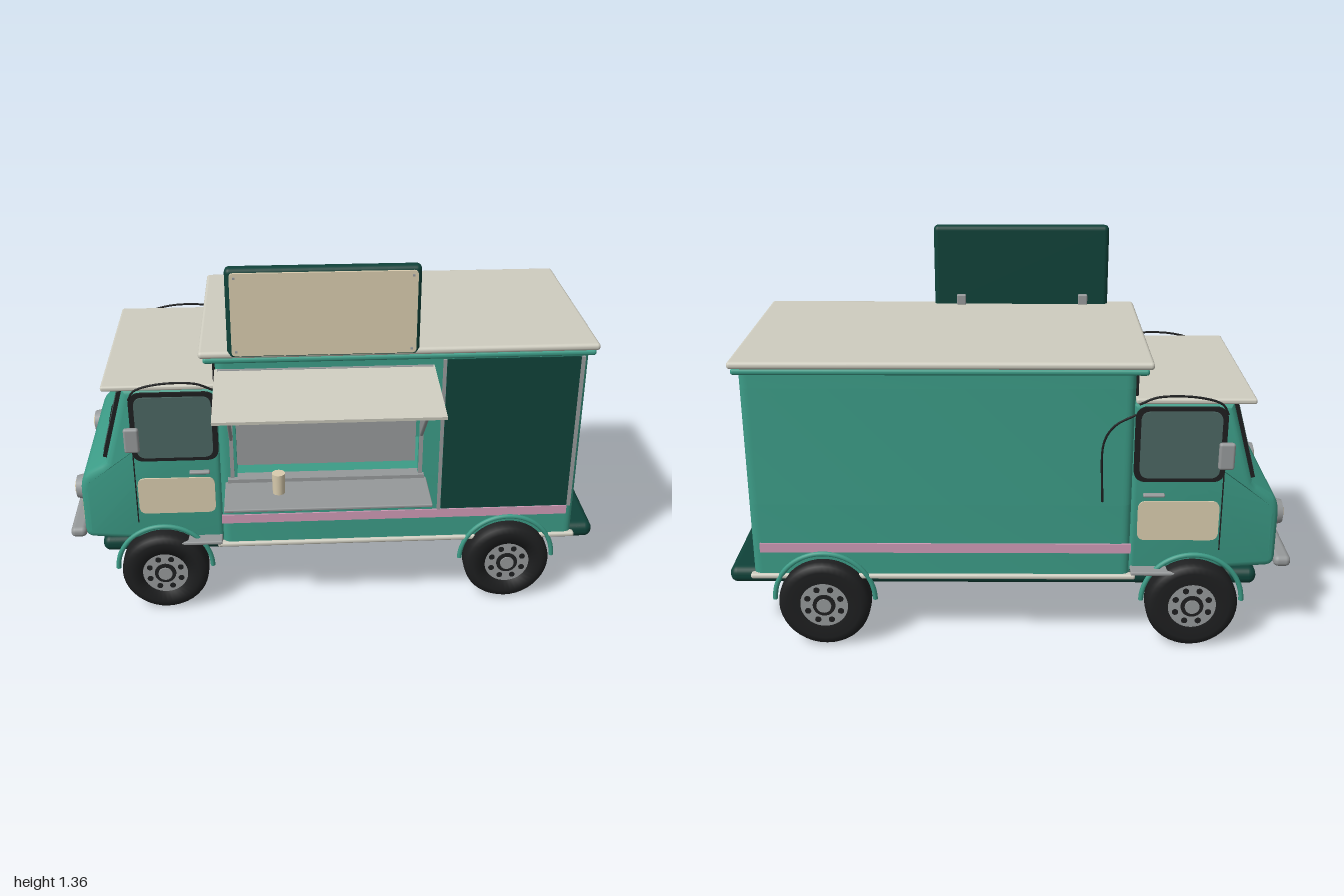
import * as THREE from 'three';
import { RoundedBoxGeometry } from 'three/addons/geometries/RoundedBoxGeometry.js';
import { toCreasedNormals } from 'three/addons/utils/BufferGeometryUtils.js';

const mat = (name, color) => {
  const m = new THREE.MeshStandardMaterial({ color });
  m.name = name;
  return m;
};

export function createModel() {
  const teal = mat('teal paint', 0x3c9c87), dark = mat('dark teal', 0x0f4239);
  const roofWhite = mat('roof off-white', 0xcfcdc0), cream = mat('cream', 0xd9ccae);
  const pink = mat('pink', 0xcf9bb6), grey = mat('metal grey', 0x96999a);
  const black = mat('black', 0x1e1f20), red = mat('red', 0xa8443a), glass = mat('dark glass', 0x4b6662);

  const model = new THREE.Group();
  model.name = 'foodTruck';
  const truck = new THREE.Group();
  truck.name = 'truck';
  truck.position.z = -0.13; // the awning side reaches further out
  model.add(truck);

  const add = (name, geo, m, x = 0, y = 0, z = 0, parent = truck) => {
    const mesh = new THREE.Mesh(geo, m);
    mesh.name = name;
    mesh.position.set(x, y, z);
    parent.add(mesh);
    return mesh;
  };
  // block given by its ranges, optionally rounded
  const block = (name, m, x0, x1, y0, y1, z0, z1, r = 0) => {
    const s = [x1 - x0, y1 - y0, z1 - z0];
    const geo = r ? new RoundedBoxGeometry(...s, 3, r) : new THREE.BoxGeometry(...s);
    return add(name, geo, m, (x0 + x1) / 2, (y0 + y1) / 2, (z0 + z1) / 2);
  };
  // round bar between two points
  const rod = (name, m, a, b, r) => {
    const p = new THREE.Vector3(...a), d = new THREE.Vector3(...b).sub(p);
    const mesh = add(name, new THREE.CylinderGeometry(r, r, d.length(), 10), m);
    mesh.position.copy(p).addScaledVector(d, 0.5);
    mesh.quaternion.setFromUnitVectors(new THREE.Vector3(0, 1, 0), d.normalize());
    return mesh;
  };
  // thin rounded plate on a side wall; s is the side, z the inner distance
  const plate = (name, m, x0, x1, y0, y1, z, d, r, s = 1) => {
    const shape = new THREE.Shape();
    shape.moveTo(x0 + r, y0).lineTo(x1 - r, y0).quadraticCurveTo(x1, y0, x1, y0 + r)
      .lineTo(x1, y1 - r).quadraticCurveTo(x1, y1, x1 - r, y1).lineTo(x0 + r, y1)
      .quadraticCurveTo(x0, y1, x0, y1 - r).lineTo(x0, y0 + r).quadraticCurveTo(x0, y0, x0 + r, y0);
    const geo = new THREE.ExtrudeGeometry(shape, { depth: d, bevelEnabled: false });
    return add(name, geo, m, 0, 0, s > 0 ? z : -z - d);
  };

  // chassis
  block('chassis', dark, -0.89, 1, 0.2, 0.262, -0.335, 0.325, 0.028);

  // kitchen box: three wall bands, the middle one open at the serving hatch
  const wallBand = (name, y0, y1, g0, g1) => {
    const a = -0.43, b = 0.9, h = 0.38, r = 0.035, t = 0.02;
    const s = new THREE.Shape();
    s.moveTo(g0, -h).lineTo(g0, -h + t).lineTo(a + t, -h + t).lineTo(a + t, h - t).lineTo(b - t, h - t)
      .lineTo(b - t, -h + t).lineTo(g1, -h + t).lineTo(g1, -h).lineTo(b - r, -h)
      .quadraticCurveTo(b, -h, b, -h + r).lineTo(b, h - r).quadraticCurveTo(b, h, b - r, h)
      .lineTo(a + r, h).quadraticCurveTo(a, h, a, h - r).lineTo(a, -h + r).quadraticCurveTo(a, -h, a + r, -h);
    const geo = new THREE.ExtrudeGeometry(s, { depth: y1 - y0, bevelEnabled: false, curveSegments: 6 });
    add(name, toCreasedNormals(geo.rotateX(-Math.PI / 2), 0.6), teal, 0, y0);
  };
  wallBand('lowerWalls', 0.265, 0.535, 0, 0);
  wallBand('hatchWalls', 0.535, 0.96, -0.365, 0.3);
  wallBand('upperWalls', 0.96, 1.02, 0, 0);
  block('kitchenFloor', teal, -0.42, 0.89, 0.265, 0.3, -0.37, 0.37);
  block('roofGutter', teal, -0.47, 0.92, 1.008, 1.03, -0.39, 0.39, 0.01);
  block('boxRoof', roofWhite, -0.485, 0.93, 1.03, 1.056, -0.398, 0.398, 0.012);
  block('frontVent', black, -0.439, -0.43, 0.925, 1.005, -0.35, 0.35);
  block('rearSeam', dark, 0.899, 0.903, 0.347, 0.351, -0.35, 0.35);
  for (const s of [1, -1]) {
    plate('pinkStripe', pink, -0.43, 0.87, 0.353, 0.388, 0.378, 0.007, 0.002, s);
    block('sillRail', roofWhite, -0.45, 0.91, 0.249, 0.269, s * 0.375 - 0.015, s * 0.375 + 0.015, 0.009);
    block('tailLight', red, 0.895, 0.908, 0.35, 0.406, s * 0.275 - 0.023, s * 0.275 + 0.023);
  }

  // side shutter with its frame strips
  plate('shutter', dark, 0.39, 0.868, 0.392, 1.005, 0.377, 0.009, 0.004);
  for (const x of [0.382, 0.876]) block('shutterStrip', grey, x - 0.006, x + 0.006, 0.39, 1.005, 0.375, 0.389);

  // kitchen interior
  block('wallLining', grey, -0.4, 0.36, 0.5, 0.8, -0.358, -0.35);
  block('darkLining', black, -0.33, 0.32, 0.78, 0.9, -0.35, -0.34);
  block('backCounter', grey, -0.4, 0.36, 0.3, 0.545, -0.35, -0.15);
  block('extractorHood', grey, -0.33, 0.07, 0.868, 0.914, -0.34, -0.15);
  for (let i = 0; i < 8; i++) block('hoodSlot', black, -0.285 + i * 0.04, -0.263 + i * 0.04, 0.883, 0.9, -0.15, -0.146);
  block('grill', grey, -0.3, 0.01, 0.545, 0.608, -0.33, -0.13, 0.008);
  block('grillSlot', black, -0.28, -0.01, 0.588, 0.594, -0.131, -0.127);
  for (let i = 0; i < 4; i++) {
    add('grillKnob', new THREE.CylinderGeometry(0.013, 0.013, 0.02, 12).rotateX(Math.PI / 2), black, -0.25 + i * 0.07, 0.566, -0.125);
  }
  for (const x of [0.135, 0.2]) {
    const profile = [[0, 0], [0.019, 0], [0.019, 0.06], [0.008, 0.072], [0.004, 0.092], [0, 0.092]];
    add('sauceBottle', new THREE.LatheGeometry(profile.map(p => new THREE.Vector2(...p)), 16), red, x, 0.545, -0.14);
  }

  // serving shelf, awning and their supports
  block('hatchSill', grey, -0.4, 0.32, 0.535, 0.549, 0.35, 0.4);
  block('servingShelf', grey, -0.41, 0.33, 0.518, 0.53, 0.38, 0.58, 0.004);
  block('shelfRail', teal, -0.39, 0.31, 0.468, 0.5, 0.398, 0.448, 0.014);
  add('cup', new THREE.CylinderGeometry(0.024, 0.022, 0.08, 20), cream, -0.215, 0.57, 0.465);
  const awning = add('awning', new THREE.BoxGeometry(0.775, 0.011, 0.345), roofWhite, -0.043, 0.962, 0.549);
  awning.rotation.x = 0.1;
  block('awningHinge', grey, -0.42, 0.34, 0.96, 0.985, 0.378, 0.392);
  for (const x of [-0.23, 0.14]) block('awningLamp', grey, x - 0.03, x + 0.03, 0.942, 0.956, 0.455, 0.495, 0.006);
  for (const x of [-0.383, 0.307]) {
    rod('awningStrut', grey, [x, 0.94, 0.61], [x, 0.71, 0.385], 0.007);
    block('hatchPost', grey, x - 0.007, x + 0.007, 0.55, 0.96, 0.375, 0.388);
  }

  // roof sign board, left blank
  block('signBoard', dark, -0.382, 0.288, 1.03, 1.36, 0.353, 0.4, 0.018);
  plate('signFace', cream, -0.366, 0.274, 1.046, 1.346, 0.4, 0.009, 0.015);
  for (const x of [-0.285, 0.185]) block('signBracket', grey, x - 0.018, x + 0.018, 1.055, 1.095, 0.338, 0.358, 0.005);
  for (const x of [-0.35, 0.258]) for (const y of [1.062, 1.33]) block('signScrew', grey, x - 0.004, x + 0.004, y - 0.004, y + 0.004, 0.408, 0.412);

  // cab body: side profile with rounded edges, narrowing towards the nose
  const cabShape = new THREE.Shape();
  cabShape.moveTo(-0.42, 0.27).lineTo(-0.42, 0.905).lineTo(-0.762, 0.905).lineTo(-0.842, 0.615)
    .lineTo(-0.862, 0.598).lineTo(-0.915, 0.565).quadraticCurveTo(-0.945, 0.54, -0.945, 0.48)
    .lineTo(-0.945, 0.32).quadraticCurveTo(-0.945, 0.285, -0.91, 0.285).lineTo(-0.78, 0.285);
  const cabGeo = new THREE.ExtrudeGeometry(cabShape, {
    depth: 0.69, bevelSize: 0.025, bevelThickness: 0.025, bevelOffset: -0.025, bevelSegments: 4, curveSegments: 6,
  }).translate(0, 0, -0.345);
  const p = cabGeo.attributes.position;
  for (let i = 0; i < p.count; i++) p.setZ(i, p.getZ(i) * (1 - 0.05 * THREE.MathUtils.smoothstep(-p.getX(i), 0.78, 0.95)));
  add('cabBody', toCreasedNormals(cabGeo, 0.5), teal);
  block('cabRoof', roofWhite, -0.835, -0.43, 0.904, 0.924, -0.375, 0.375, 0.008);

  // windscreen: two panes in a black frame
  const screen = new THREE.Group();
  screen.name = 'windscreen';
  screen.position.set(-0.808, 0.757, 0);
  screen.rotation.z = -0.269;
  truck.add(screen);
  add('screenFrame', new THREE.BoxGeometry(0.02, 0.285, 0.66), black, 0, 0, 0, screen);
  for (const s of [1, -1]) {
    add('screenPane', new THREE.BoxGeometry(0.009, 0.25, 0.3), glass, -0.009, 0, s * 0.162, screen);
    const wiper = add('wiper', new THREE.BoxGeometry(0.005, 0.13, 0.006), black, -0.017, -0.07, s * 0.162 - 0.04, screen);
    wiper.rotation.x = 0.6;
  }

  // nose: panel, grille, lamps and bumper
  block('nosePanel', cream, -0.95, -0.94, 0.345, 0.43, -0.31, 0.31);
  block('grille', black, -0.956, -0.94, 0.375, 0.465, -0.185, 0.185);
  for (let i = 0; i < 4; i++) block('grilleBar', dark, -0.961, -0.95, 0.388 + i * 0.02, 0.394 + i * 0.02, -0.175, 0.175);
  block('frontBumper', grey, -1, -0.94, 0.288, 0.328, -0.365, 0.355, 0.018);
  for (const s of [1, -1]) {
    add('headlampRim', new THREE.CylinderGeometry(0.042, 0.05, 0.035, 24).rotateZ(Math.PI / 2), grey, -0.952, 0.465, s * 0.27);
    add('headlampLens', new THREE.SphereGeometry(0.034, 20, 10).scale(0.3, 1, 1), cream, -0.968, 0.465, s * 0.27);
    block('bumperBracket', grey, -0.955, -0.88, 0.295, 0.32, s * 0.25 - 0.02, s * 0.25 + 0.02);
  }

  // doors, mirrors and steps
  for (const s of [1, -1]) {
    plate('windowFrame', black, -0.742, -0.43, 0.622, 0.895, 0.366, 0.01, 0.045, s);
    plate('doorWindow', glass, -0.723, -0.449, 0.638, 0.88, 0.374, 0.008, 0.035, s);
    plate('doorPanel', cream, -0.732, -0.45, 0.4, 0.548, 0.368, 0.007, 0.03, s);
    plate('doorSeam', black, -0.742, -0.738, 0.36, 0.65, 0.368, 0.004, 0.001, s);
    block('doorHandle', grey, -0.54, -0.465, 0.568, 0.58, s * 0.38 - 0.01, s * 0.38 + 0.01, 0.005);
    rod('mirrorArm', dark, [-0.73, 0.69, s * 0.365], [-0.73, 0.715, s * 0.445], 0.007);
    block('mirror', grey, -0.757, -0.703, 0.7, 0.795, s * 0.447 - 0.011, s * 0.447 + 0.011, 0.009);
    block('doorStep', grey, -0.69, -0.43, 0.282, 0.296, s * 0.39 - 0.03, s * 0.39 + 0.03, 0.005);
    const trim = [[-0.74, 0.87], [-0.72, 0.905], [-0.64, 0.93], [-0.5, 0.93], [-0.44, 0.905]];
    const curve = new THREE.CatmullRomCurve3(trim.map(([x, y]) => new THREE.Vector3(x, y, s * 0.378)));
    add('doorGutter', new THREE.TubeGeometry(curve, 24, 0.004, 6), black);
  }
  // cable along the closed side
  const cable = new THREE.CatmullRomCurve3([[-0.43, 0.87], [-0.36, 0.83], [-0.325, 0.77], [-0.325, 0.55]]
    .map(([x, y]) => new THREE.Vector3(x, y, -0.382)));
  add('sideCable', new THREE.TubeGeometry(cable, 24, 0.004, 6), black);

  // wheels with rims and arches
  const tyreProfile = [[0.085, -0.046], [0.13, -0.05], [0.152, -0.043], [0.162, -0.028], [0.163, 0],
    [0.162, 0.028], [0.152, 0.043], [0.13, 0.05], [0.085, 0.046], [0.085, -0.046]].map(q => new THREE.Vector2(...q));
  const disc = (r, h) => new THREE.CylinderGeometry(r, r, h, 28).rotateX(Math.PI / 2);
  for (const x of [-0.65, 0.65]) {
    rod('axle', black, [x, 0.165, -0.36], [x, 0.165, 0.36], 0.02);
    for (const s of [1, -1]) {
      const wheel = new THREE.Group();
      wheel.name = 'wheel';
      wheel.position.set(x, 0.163, s * 0.375);
      truck.add(wheel);
      add('tyre', new THREE.LatheGeometry(tyreProfile, 40).rotateX(Math.PI / 2), black, 0, 0, 0, wheel);
      add('rim', disc(0.088, 0.084), grey, 0, 0, 0, wheel);
      add('hubRing', disc(0.04, 0.012), black, 0, 0, s * 0.042, wheel);
      add('hubCap', disc(0.026, 0.02), grey, 0, 0, s * 0.043, wheel);
      for (let i = 0; i < 8; i++) {
        const a = (i + 0.5) * Math.PI / 4;
        add('rimHole', disc(0.011, 0.004), black, 0.063 * Math.cos(a), 0.063 * Math.sin(a), s * 0.042, wheel);
      }
      add('wheelArch', new THREE.TorusGeometry(0.178, 0.009, 8, 32, Math.PI), teal, x, 0.17, s * 0.385);
    }
  }
  return model;
}
